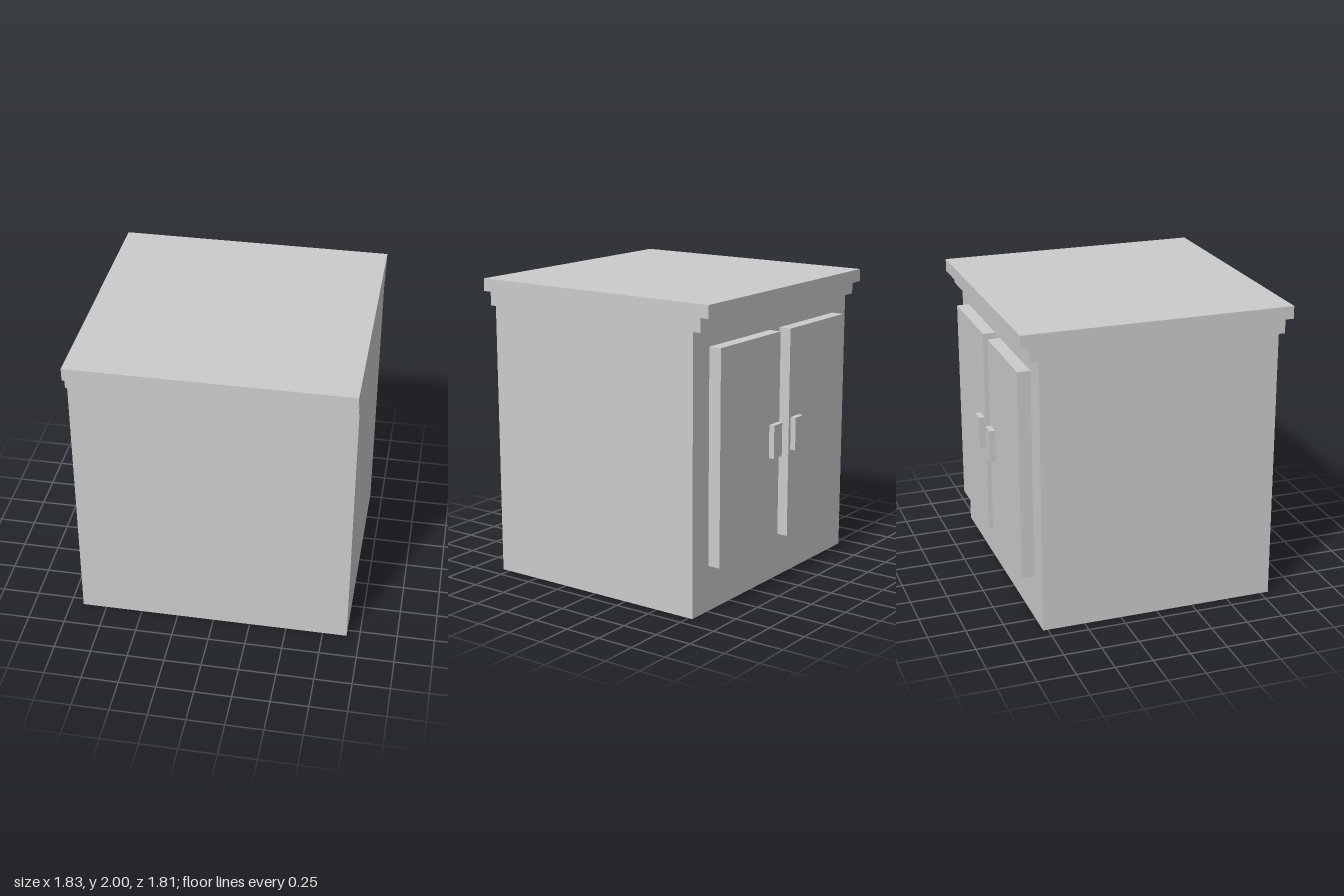
import * as THREE from 'three';

const material = new THREE.MeshStandardMaterial({ color: 0xcccccc, flatShading: true });

// Box given by its limits on each axis
function block(name, [x0, x1], [y0, y1], [z0, z1]) {
  const mesh = new THREE.Mesh(new THREE.BoxGeometry(x1 - x0, y1 - y0, z1 - z0), material);
  mesh.position.set((x0 + x1) / 2, (y0 + y1) / 2, (z0 + z1) / 2);
  mesh.name = name;
  return mesh;
}

export function createModel() {
  const model = new THREE.Group();
  model.name = 'cabinet';

  // Carcass with stepped cornice: one side profile (z, y) swept across the width
  const width = 1.826;
  const profile = new THREE.Shape([
    [-0.78, 0], [0.805, 0], [0.805, 1.826], [0.848, 1.826], [0.848, 1.916], [0.905, 1.916],
    [0.905, 2], [-0.892, 2], [-0.892, 1.916], [-0.835, 1.916], [-0.835, 1.826], [-0.78, 1.826],
  ].map(([z, y]) => new THREE.Vector2(z, y)));
  const carcassGeometry = new THREE.ExtrudeGeometry(profile, { depth: width, bevelEnabled: false });
  carcassGeometry.translate(0, 0, -width / 2).rotateY(-Math.PI / 2);
  const carcass = new THREE.Mesh(carcassGeometry, material);
  carcass.name = 'carcass';
  model.add(carcass);

  // Pair of doors with handles beside the middle gap
  for (const [side, s] of [['left', 1], ['right', -1]]) {
    const span = (a, b) => (s > 0 ? [a, b] : [-b, -a]);
    model.add(block(side + 'Door', span(0.06, 0.74), [0.302, 1.71], [-0.865, -0.78]));
    model.add(block(side + 'Handle', span(0.083, 0.179), [0.895, 1.117], [-0.903, -0.865]));
  }
  return model;
}
